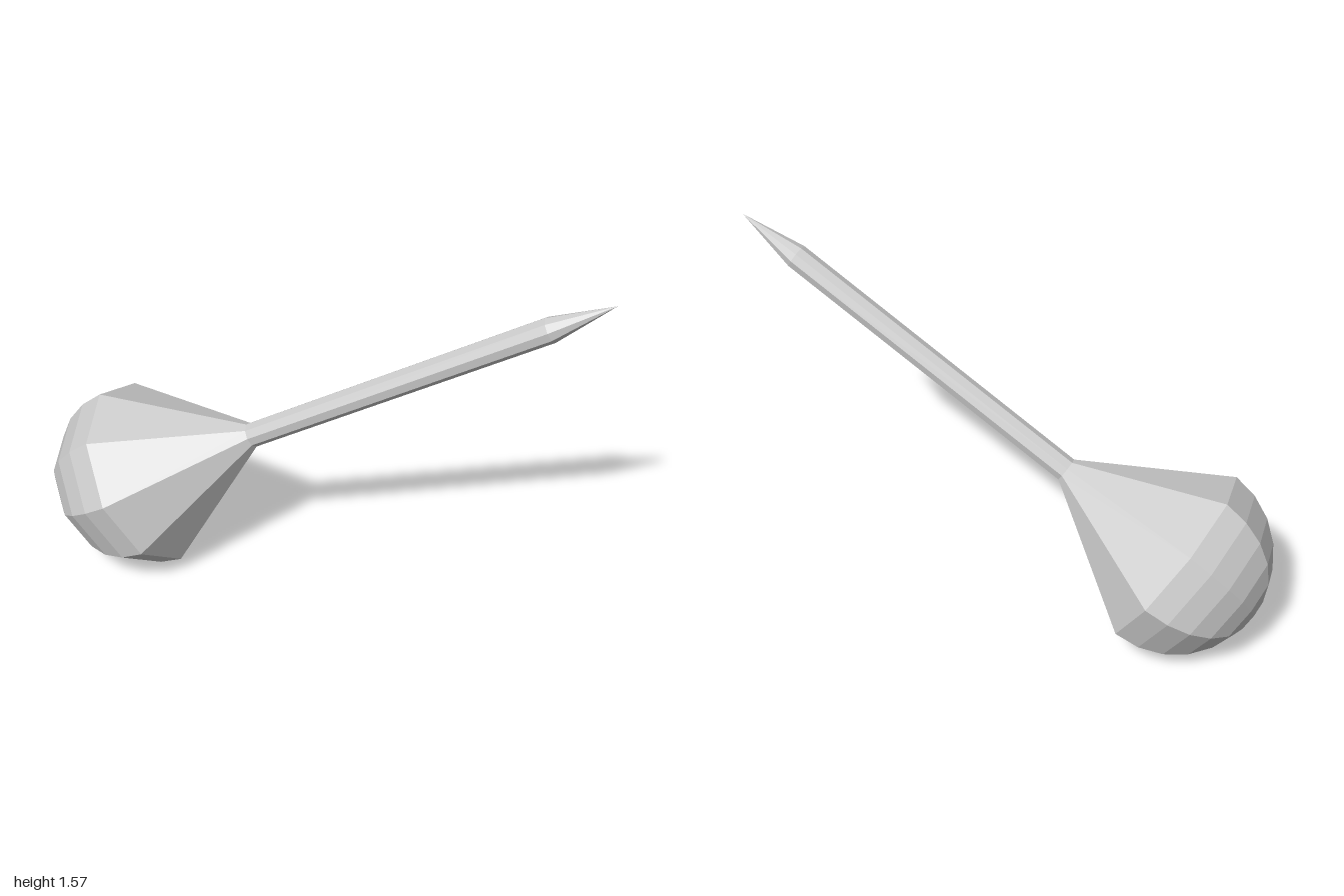
import * as THREE from 'three';

const SIDES = 9;
const BULB_R = 0.411, SHAFT_R = 0.053;
const NECK = 0.565, SPIKE = 1.968, TIP = 2.246; // distances along the axis from the bulb rim

export function createModel() {
  const group = new THREE.Group();
  group.name = 'dart';
  const material = new THREE.MeshStandardMaterial({ color: 0xcccccc, flatShading: true });

  // every part is a nine-sided turned form sharing one axis
  const turned = (name, profile) => {
    const points = profile.map(([r, y]) => new THREE.Vector2(r, y));
    const mesh = new THREE.Mesh(new THREE.LatheGeometry(points, SIDES), material);
    mesh.name = name;
    group.add(mesh);
  };

  // rounded rear of the bulb: quarter arc in 15 degree steps from pole to rim
  const dome = [];
  for (let i = 0; i <= 6; i++) {
    const a = (i / 6) * Math.PI / 2;
    dome.push([BULB_R * Math.sin(a), -BULB_R * Math.cos(a)]);
  }
  turned('bulbDome', dome);
  turned('bulbCone', [[BULB_R, 0], [SHAFT_R, NECK]]);
  turned('shaft', [[SHAFT_R, NECK], [SHAFT_R, SPIKE]]);
  turned('spikeTip', [[SHAFT_R, SPIKE], [0, TIP]]);

  // tilt the axis up and forward, with one edge of the bulb facing up
  const axis = new THREE.Vector3(0.4836, 0.52, 0.704).normalize();
  const edge = new THREE.Vector3(-0.1, 0.353, -0.19);
  const side = new THREE.Vector3().crossVectors(axis, edge).normalize();
  edge.crossVectors(side, axis);
  group.quaternion.setFromRotationMatrix(new THREE.Matrix4().makeBasis(side, axis, edge));
  group.position.set(-0.341, 0.402, -0.591);

  return group;
}
